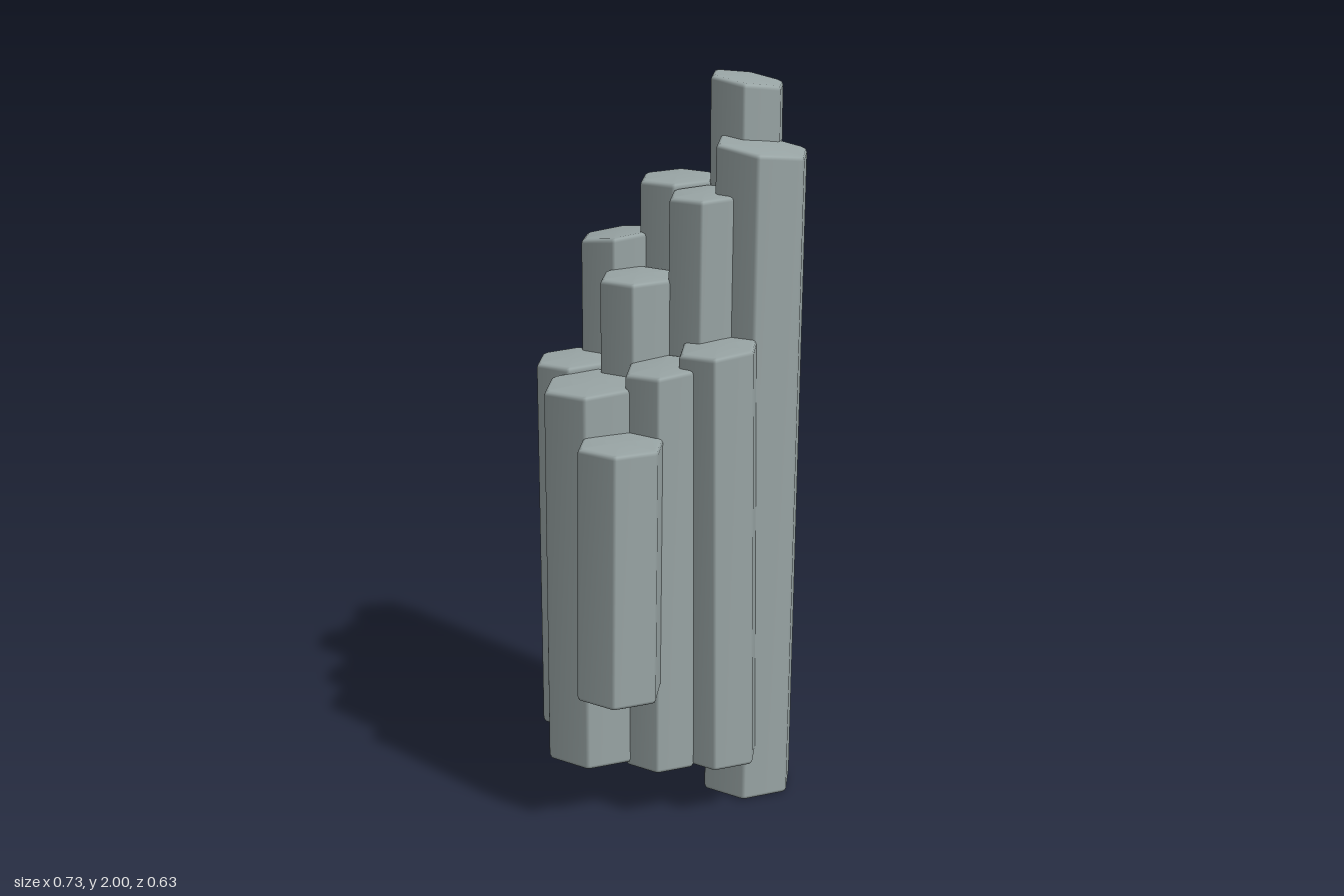
import * as THREE from 'three';

const stone = new THREE.MeshStandardMaterial({ color: 0x9aa6a6 });
stone.name = 'grey stone';

// Each column: [radius, bottom centre x, z, bottom y, top centre x, z, top y, top slope along x, along z]
const COLUMNS = [
  [0.107, -0.207, -0.170, 0.18, -0.207, -0.178, 1.235, 0.05, 0],
  [0.109, -0.053, -0.224, 0.74, -0.053, -0.224, 1.56, 0.1, 0.1],
  [0.109, 0.088, -0.142, 0.13, 0.088, -0.146, 1.717, 0.03, 0],
  [0.107, 0.257, -0.078, 0.03, 0.252, -0.058, 1.985, -0.13, -0.08],
  [0.133, 0.212, 0.065, 0.0, 0.232, 0.077, 1.827, -0.11, -0.08],
  [0.107, -0.073, -0.048, 0.13, -0.073, -0.048, 1.48, 0.03, 0],
  [0.104, 0.072, 0.032, 0.12, 0.087, 0.037, 1.705, 0.05, 0],
  [0.107, -0.077, 0.120, 0.145, -0.073, 0.120, 1.27, 0.1, 0],
  [0.113, 0.072, 0.172, 0.15, 0.064, 0.172, 1.322, 0.1, 0],
  [0.134, -0.235, 0.017, 0.155, -0.235, 0.017, 1.217, 0.06, 0],
  [0.121, -0.240, 0.210, 0.40, -0.231, 0.207, 1.102, 0, 0],
];

const BEVEL = 0.012;

// Hexagon with clipped corners, counter-clockwise seen from above
function hexRing(radius) {
  const points = [];
  const corner = (i) => new THREE.Vector2(Math.cos(i * Math.PI / 3), -Math.sin(i * Math.PI / 3)).multiplyScalar(radius);
  for (let i = 0; i < 6; i++) {
    points.push(corner(i).lerp(corner(i - 1), 0.05), corner(i).lerp(corner(i + 1), 0.05));
  }
  return points;
}

// Bevelled, slightly leaning prism with a sloping top
function columnGeometry([r, bx, bz, by, tx, tz, ty, sx, sz]) {
  const position = [], index = [];
  const n = 12;
  // Radius, end (0 bottom, 1 top) and height offset of each cross-section
  const sections = [
    [r - BEVEL, 0, 0], [r - BEVEL * 0.3, 0, BEVEL * 0.3], [r, 0, BEVEL],
    [r, 1, -BEVEL], [r - BEVEL * 0.3, 1, -BEVEL * 0.3], [r - BEVEL, 1, 0],
  ];
  for (const [radius, end, dy] of sections) {
    for (const p of hexRing(radius)) {
      const y = end ? ty + sx * p.x + sz * p.y : by;
      position.push((end ? tx : bx) + p.x, y + dy, (end ? tz : bz) + p.y);
    }
  }
  for (let s = 0; s < sections.length - 1; s++) {
    for (let i = 0; i < n; i++) {
      const a = s * n + i, b = s * n + (i + 1) % n;
      index.push(a, b, b + n, a, b + n, a + n);
    }
  }
  // End caps
  const bottom = position.length / 3, top = bottom + 1, last = (sections.length - 1) * n;
  position.push(bx, by, bz, tx, ty + 0.003, tz);
  for (let i = 0; i < n; i++) {
    const j = (i + 1) % n;
    index.push(bottom, j, i, top, last + i, last + j);
  }
  const geometry = new THREE.BufferGeometry();
  geometry.setAttribute('position', new THREE.Float32BufferAttribute(position, 3));
  geometry.setIndex(index);
  geometry.computeVertexNormals();
  return geometry;
}

export function createModel() {
  const group = new THREE.Group();
  group.name = 'basalt columns';
  COLUMNS.forEach((column, i) => {
    const mesh = new THREE.Mesh(columnGeometry(column), stone);
    mesh.name = `hexagonal column ${i + 1}`;
    group.add(mesh);
  });
  return group;
}
